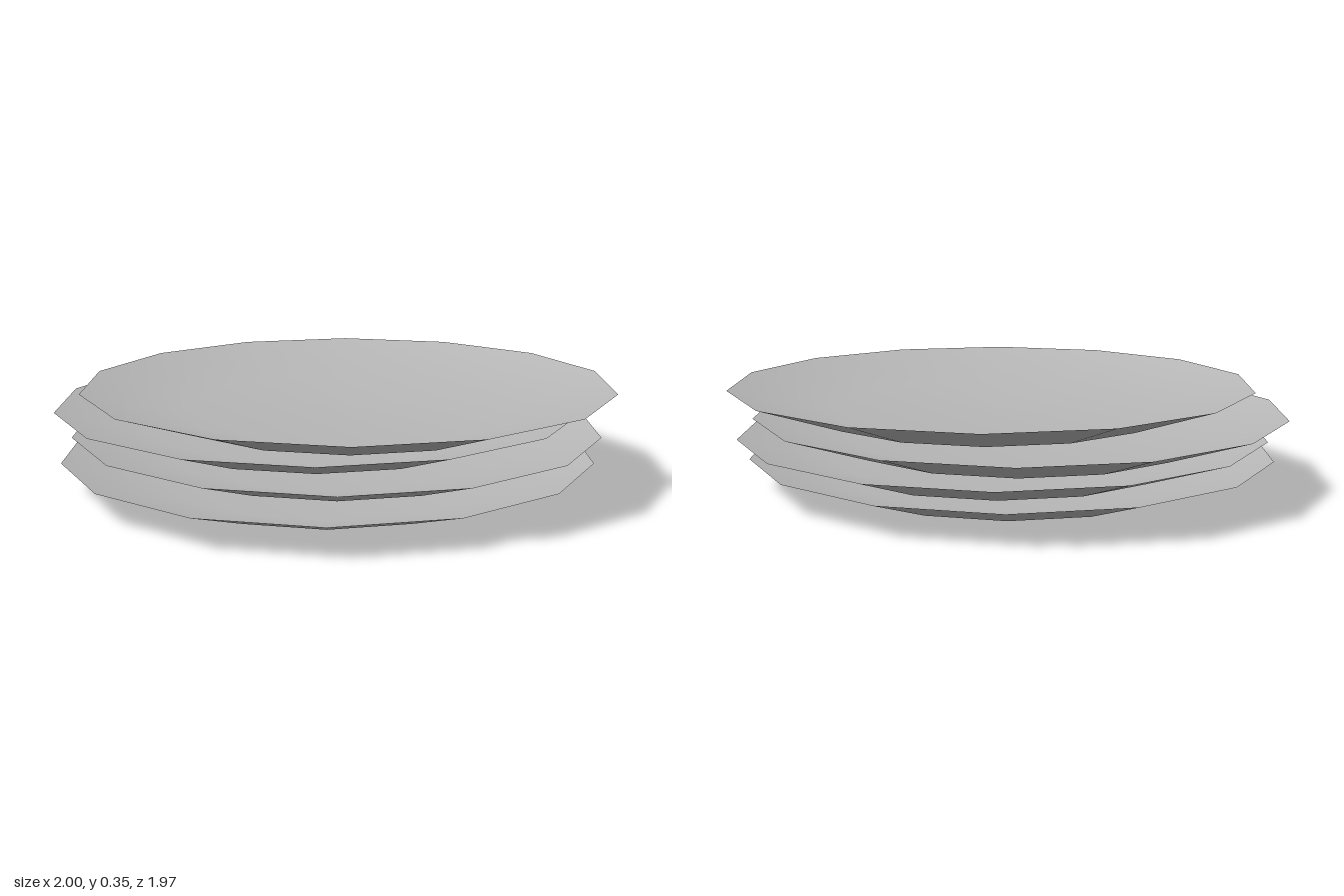
import * as THREE from 'three';

const SIDES = 14, RIM = 0.957, FOOT = 0.637, HEIGHT = 0.108;

// Revolve a [radius, height] profile, with one corner pointing along +x
function turn(name, profile, material) {
  const points = profile.map(([r, y]) => new THREE.Vector2(r, y));
  const mesh = new THREE.Mesh(new THREE.LatheGeometry(points, SIDES, Math.PI / 2), material);
  mesh.name = name;
  return mesh;
}

function createPlate(material) {
  const plate = new THREE.Group();
  plate.add(
    turn('plateBase', [[0, 0], [FOOT, 0]], material),
    turn('plateSide', [[FOOT, 0], [RIM, HEIGHT]], material),
    // Sloping inside wall, softly blended into the floor
    turn('plateDish', [[RIM, HEIGHT], [0.6, 0.02], [0, 0.015]], material)
  );
  return plate;
}

export function createModel() {
  const model = new THREE.Group();
  model.name = 'plateStack';
  const ceramic = new THREE.MeshStandardMaterial({ color: 0xb8b8b8 });
  ceramic.name = 'grey ceramic';

  // Loosely stacked plates, bottom to top: x, y, z
  const places = [
    [-0.028, 0, 0.035],
    [0.014, 0.081, -0.005],
    [-0.043, 0.163, -0.053],
    [0.043, 0.247, 0.052],
  ];
  places.forEach((place, i) => {
    const plate = createPlate(ceramic);
    plate.name = `plate${i + 1}`;
    plate.position.set(...place);
    model.add(plate);
  });
  return model;
}
